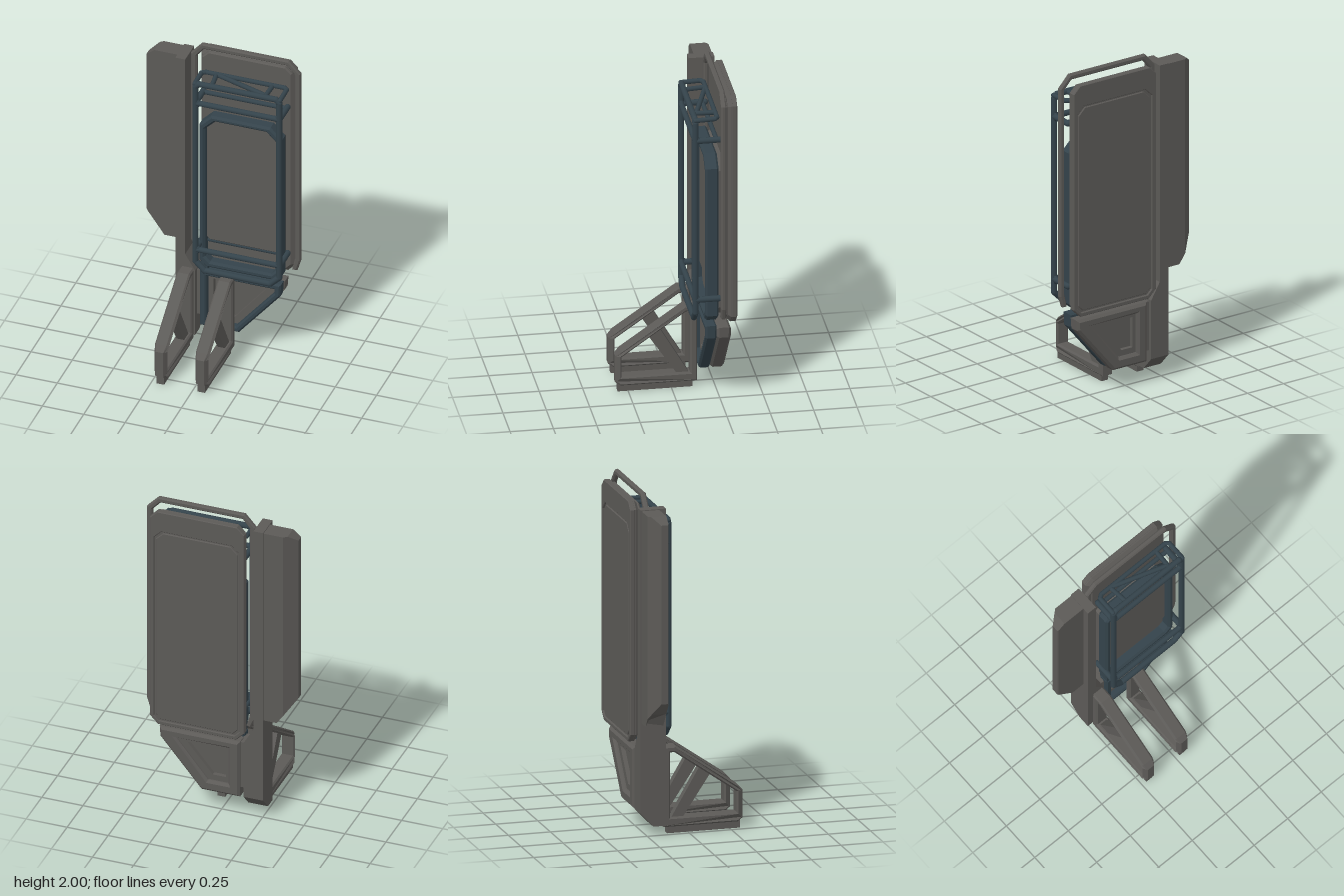
import * as THREE from 'three';

const grey = new THREE.MeshStandardMaterial({ color: 0x5c5a57 });
const steel = new THREE.MeshStandardMaterial({ color: 0x34434b });

const path = (pts, C = THREE.Shape) => new C(pts.map(([a, b]) => new THREE.Vector2(a, b)));

// Outline of a rectangle with cut corners (cb = bottom cut)
const cutRect = (x0, x1, y0, y1, c, cb = c) => [
  [x0 + cb, y0], [x1 - cb, y0], [x1, y0 + cb], [x1, y1 - c],
  [x1 - c, y1], [x0 + c, y1], [x0, y1 - c], [x0, y0 + cb]];

// Extruded slab from z0 to z1 with optional hole and bevel
function slab(pts, z0, z1, hole, b = 0, steps = 1) {
  const s = path(pts);
  if (hole) s.holes.push(path(hole, THREE.Path));
  const g = new THREE.ExtrudeGeometry(s, {
    depth: z1 - z0 - 2 * b, steps, bevelEnabled: b > 0,
    bevelThickness: b, bevelSize: b, bevelOffset: -b, bevelSegments: 1 });
  return g.translate(0, 0, z0 + b);
}

// Move every vertex by a rule, then refresh the normals
function reshape(g, rule) {
  const p = g.attributes.position, v = new THREE.Vector3();
  for (let i = 0; i < p.count; i++) {
    rule(v.fromBufferAttribute(p, i));
    p.setXYZ(i, v.x, v.y, v.z);
  }
  g.computeVertexNormals();
  return g;
}

export function createModel() {
  const model = new THREE.Group();
  const add = (name, geo, mat = grey, parent = model) => {
    const m = new THREE.Mesh(geo, mat);
    m.name = name;
    parent.add(m);
    return m;
  };

  // Round steel bars with ball joints along a list of points
  function bars(name, list, r, closed = false) {
    const group = new THREE.Group();
    group.name = name;
    model.add(group);
    const pts = list.map(p => new THREE.Vector3(...p));
    pts.forEach((p, i) => {
      add('joint', new THREE.SphereGeometry(r, 10, 8).translate(p.x, p.y, p.z), steel, group);
      if (i === pts.length - 1 && !closed) return;
      const q = pts[(i + 1) % pts.length];
      const m = add('bar', new THREE.CylinderGeometry(r, r, p.distanceTo(q), 10), steel, group);
      m.position.copy(p).add(q).multiplyScalar(0.5);
      m.quaternion.setFromUnitVectors(new THREE.Vector3(0, 1, 0), q.clone().sub(p).normalize());
    });
  }

  // Back panel: bevelled slab, with a rim around a sunken rear plate
  add('backPanel', slab(cutRect(-0.165, 0.41, 0.53, 1.95, 0.045, 0.05), -0.315, -0.272, null, 0.018));
  add('backPanelRim', slab(cutRect(-0.165, 0.41, 0.53, 1.95, 0.045, 0.05), -0.325, -0.295,
    cutRect(-0.135, 0.385, 0.555, 1.82, 0.045, 0.03), 0.004));
  add('rearPlate', slab(cutRect(-0.125, 0.375, 0.565, 1.81, 0.045, 0.03), -0.322, -0.31, null, 0.004));

  // Core joining the back panel to the front frame
  add('core', slab(cutRect(-0.12, 0.36, 0.56, 1.54, 0.06), -0.28, -0.205));
  add('upperCore', slab(cutRect(-0.15, 0.395, 0.55, 1.935, 0.04), -0.275, -0.255, null, 0.008));

  // Flat guard rail around the panel, open at the bottom
  const railOuter = [[0.405, 0.58], [0.435, 0.58], [0.456, 0.65], [0.456, 1.925], [0.385, 2],
    [-0.14, 2], [-0.207, 1.925], [-0.207, 0.65], [-0.175, 0.58], [-0.15, 0.59]];
  const railInner = [[-0.171, 0.66], [-0.171, 1.912], [-0.127, 1.967], [0.372, 1.967], [0.423, 1.912], [0.423, 0.66]];
  add('guardRail', slab([...railOuter, ...railInner], -0.256, -0.225, null, 0.008));

  // Front frame and the face plate inside it
  add('frontFrame', slab(cutRect(-0.128, 0.372, 0.535, 1.572, 0.07, 0.04), -0.225, -0.148,
    cutRect(-0.093, 0.337, 0.575, 1.537, 0.06, 0.03), 0.012), steel);
  add('facePlate', slab(cutRect(-0.1, 0.345, 0.7, 1.545, 0.055, 0.02), -0.21, -0.188, null, 0.008));

  // Tubular rack standing off the front, with small braces at the crossbars
  const rz = -0.088, rackBack = -0.21, left = 0.38, right = -0.127;
  bars('rackLoop', cutRect(right, left, 0.555, 1.822, 0.02, 0.055).map(([x, y]) => [x, y, rz]), 0.018, true);
  for (const y of [0.69, 1.69]) {
    bars('rackCrossbar', [[right, y, rz], [left, y, rz]], 0.017);
    bars('rackRearBar', [[right, y, rackBack], [left, y, rackBack]], 0.014);
    for (const [x, s] of [[right, 1], [left, -1]]) {
      bars('rackStandoff', [[x, y, rz], [x, y, rackBack - 0.015]], 0.018);
      for (const d of [-0.025, 0.025]) {
        bars('rackCornerBrace', [[x, y + d, rz], [x + s * 0.025, y, rz]], 0.013);
        bars('rackStandoffBrace', [[x, y + d, rz], [x, y, rz - 0.03]], 0.012);
      }
    }
  }
  bars('rackTop', [[-0.131, 1.82, rz], [-0.131, 1.824, -0.2], [-0.11, 1.824, -0.215],
    [0.365, 1.824, -0.215], [0.384, 1.824, -0.2], [0.384, 1.82, rz]], 0.014);
  bars('rackTopBrace', [[-0.03, 1.822, rz], [-0.045, 1.822, -0.215], [0.28, 1.822, -0.11],
    [0.29, 1.822, rz], [0.295, 1.822, -0.215]], 0.014);

  // Lower bracket: steel front frame, grey rear frame, stepped web between
  const bracket = [[-0.125, 0.13], [0.11, 0.13], [0.36, 0.43], [0.365, 0.51], [-0.125, 0.51]];
  const opening = [[-0.085, 0.165], [0.092, 0.165], [0.325, 0.445], [0.325, 0.472], [-0.085, 0.472]];
  const inner = [[-0.055, 0.2], [0.07, 0.2], [0.265, 0.44], [-0.055, 0.44]];
  const rearInner = [[-0.035, 0.235], [0.045, 0.235], [0.2, 0.42], [-0.035, 0.42]];
  add('bracketFront', slab(bracket, -0.215, -0.15, opening, 0.01), steel);
  add('bracketRear', slab(bracket.map(([x, y]) => [x, Math.min(y, 0.495)]), -0.298, -0.215, inner, 0.015));
  add('bracketFrontStep', slab(opening, -0.23, -0.19, inner));
  add('bracketRearStep', slab(inner, -0.275, -0.225, rearInner));
  add('bracketWeb', slab(inner, -0.25, -0.22));
  add('bracketLink', new THREE.BoxGeometry(0.04, 0.08, 0.06).translate(-0.1, 0.53, -0.185), steel);
  add('bracketArm', new THREE.BoxGeometry(0.08, 0.3, 0.1).translate(-0.14, 0.34, -0.225));

  // Side pillar, with its lower rear edge cut away
  const pillar = [[-0.27, 0.06], [-0.15, 0.06], [-0.15, 0.5], [-0.21, 0.6], [-0.21, 1.93], [-0.27, 1.93]];
  add('sidePillar', reshape(slab(pillar, -0.295, -0.145, null, 0, 2), v => {
    if (v.z < -0.29 && v.y < 0.07) v.y = 0.14;
  }));

  // Side wing: upright section with sloped top and bottom corners
  const section = [[-0.26, 0.29], [-0.35, 0.29], [-0.39, 0.29], [-0.41, 0.273], [-0.46, 0.23],
    [-0.46, 0.19], [-0.453, 0.185], [-0.41, 0.185], [-0.35, 0.185], [-0.26, 0.185]];
  add('sideWing', reshape(slab(section, 0.675, 1.925).rotateX(-Math.PI / 2), v => {
    if (v.y < 1) v.y += Math.max(0, -0.35 - v.x) * 1.41;
    else v.y -= Math.max(0, -0.41 - v.x) * 0.8;
  }));

  // Feet: open side frames narrowing at the toe, with a diagonal strut and a ground pad
  const footOut = [[-0.147, 0.04], [0.295, 0.04], [0.325, 0.06], [0.325, 0.225], [0.295, 0.257],
    [-0.075, 0.515], [-0.147, 0.515]];
  const footHole = [[-0.107, 0.095], [0.288, 0.095], [0.288, 0.218], [-0.083, 0.478], [-0.107, 0.478]];
  const strut = [[-0.1, 0.09], [-0.03, 0.09], [0.14, 0.345], [0.075, 0.39]];
  for (const x of [-0.196, 0.051]) {
    const foot = new THREE.Group();
    foot.name = x < 0 ? 'rightFoot' : 'leftFoot';
    foot.position.x = x;
    model.add(foot);
    const side = (pts, w, hole, b) => slab(pts, -w / 2, w / 2, hole, b).rotateY(-Math.PI / 2);
    add('footFrame', reshape(side(footOut, 0.08, footHole, 0.009), v => {
      if (v.z > 0.305) v.x *= 0.72;
    }), grey, foot);
    add('footStrut', side(strut, 0.045), grey, foot);
    add('footPad', side([[-0.122, 0], [0.31, 0], [0.31, 0.05], [-0.122, 0.05]], 0.046), grey, foot);
  }

  return model;
}
